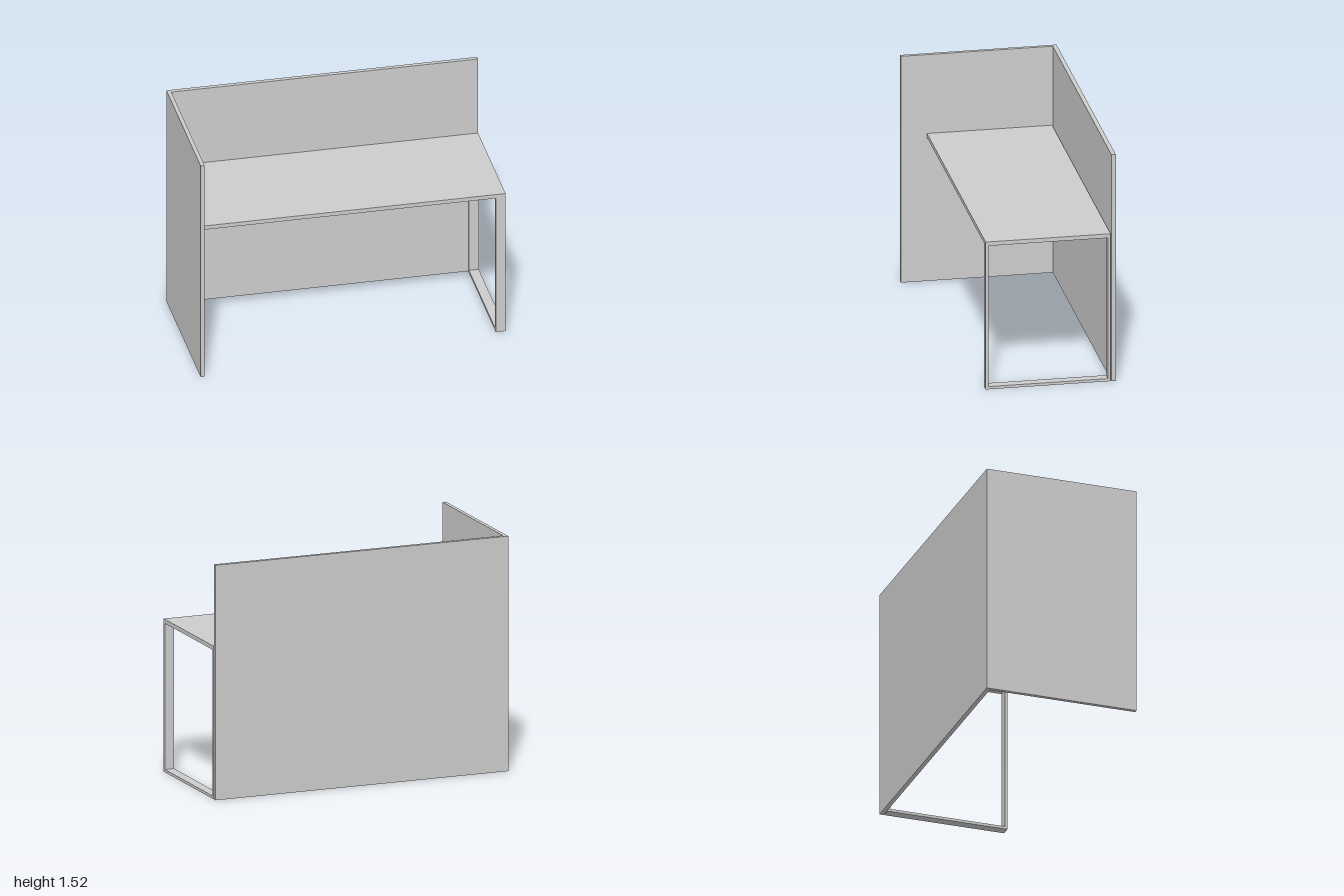
import * as THREE from 'three';

const material = new THREE.MeshStandardMaterial({ color: 0xcccccc });

// Box given by its extents on each axis
function panel(name, [x0, x1], [y0, y1], [z0, z1]) {
  const mesh = new THREE.Mesh(new THREE.BoxGeometry(x1 - x0, y1 - y0, z1 - z0), material);
  mesh.position.set((x0 + x1) / 2, (y0 + y1) / 2, (z0 + z1) / 2);
  mesh.name = name;
  return mesh;
}

export function createModel() {
  const group = new THREE.Group();
  group.name = 'deskBooth';

  const height = 1.52, backFace = -0.472, sideFace = -0.975;
  const deskTop = 0.99, deskBottom = 0.963;
  const deskBack = -0.467, deskFront = 0.333;

  // Privacy screens
  group.add(panel('backScreen', [-1, 1], [0, height], [-0.5, backFace]));
  group.add(panel('sideScreen', [-1, sideFace], [0, height], [backFace, 0.5]));

  // Work surface
  group.add(panel('desktop', [sideFace, 1], [deskBottom, deskTop], [deskBack, deskFront]));

  // Open leg frame at the free end: two flat uprights and a floor bar
  const legFrame = new THREE.Group();
  legFrame.name = 'legFrame';
  const legX = [0.937, 1], bar = 0.018;
  legFrame.add(panel('frontLeg', legX, [0, deskBottom], [deskFront - bar, deskFront]));
  legFrame.add(panel('backLeg', legX, [0, deskBottom], [deskBack, deskBack + bar]));
  legFrame.add(panel('floorBar', legX, [0, bar], [deskBack + bar, deskFront - bar]));
  group.add(legFrame);

  return group;
}
